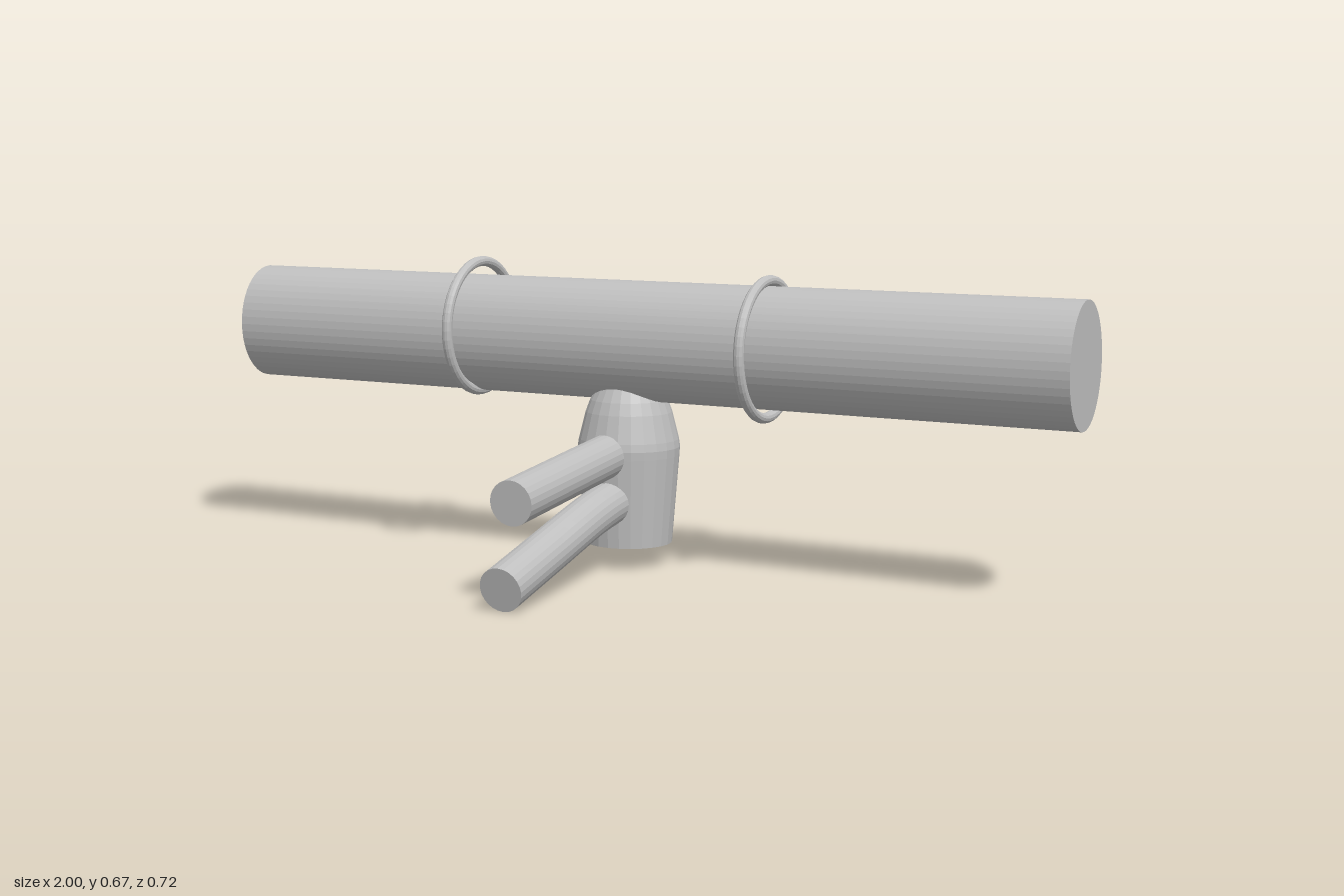
import * as THREE from 'three';

export function createModel() {
  const model = new THREE.Group();
  const grey = new THREE.MeshStandardMaterial({ color: 0xbfbfbf, flatShading: true });
  grey.name = 'grey';

  const add = (name, geometry, x = 0, y = 0, z = 0) => {
    const mesh = new THREE.Mesh(geometry, grey);
    mesh.name = name;
    mesh.position.set(x, y, z);
    model.add(mesh);
    return mesh;
  };

  // Long horizontal barrel with a slightly oval section
  const barrel = new THREE.CylinderGeometry(1, 1, 2, 48);
  barrel.rotateZ(Math.PI / 2);
  barrel.scale(1, 0.132, 0.1125);
  add('barrel', barrel, 0, 0.502, -0.2125);

  // Two thin rings hanging loosely around the barrel
  const ring = new THREE.TorusGeometry(0.1465, 0.0115, 12, 48);
  ring.rotateY(Math.PI / 2);
  add('rightRing', ring, -0.395, 0.518, -0.2015);
  add('leftRing', ring, 0.317, 0.5, -0.2015);

  // Tapered body with a rounded shoulder that runs up into the barrel
  const profile = [
    [0, 0.053], [0.097, 0.053], [0.1125, 0.25], [0.1135, 0.268], [0.111, 0.285],
    [0.096, 0.345], [0.086, 0.372], [0.07, 0.402], [0.045, 0.42], [0, 0.43],
  ].map(([r, y]) => new THREE.Vector2(r, y));
  add('body', new THREE.LatheGeometry(profile, 24), -0.02, 0, -0.211);

  // Handles: round bars swept from the front end back into the body
  const addHandle = (name, points, segments) => {
    const path = new THREE.CatmullRomCurve3(points.map((p) => new THREE.Vector3(...p)));
    add(name, new THREE.TubeGeometry(path, segments, 0.048, 24));
    const end = path.getPoint(0);
    const cap = add(name + 'End', new THREE.CircleGeometry(0.048, 24), end.x, end.y, end.z);
    cap.lookAt(end.clone().sub(path.getTangent(0)));
  };
  addHandle('upperHandle', [[-0.015, 0.22, 0.309], [-0.025, 0.255, -0.1], [-0.026, 0.26, -0.16]], 8);
  addHandle('lowerHandle', [
    [-0.015, 0.05, 0.351], [-0.016, 0.093, 0.17], [-0.017, 0.137, -0.015],
    [-0.019, 0.151, -0.105], [-0.02, 0.157, -0.18],
  ], 16);

  return model;
}
